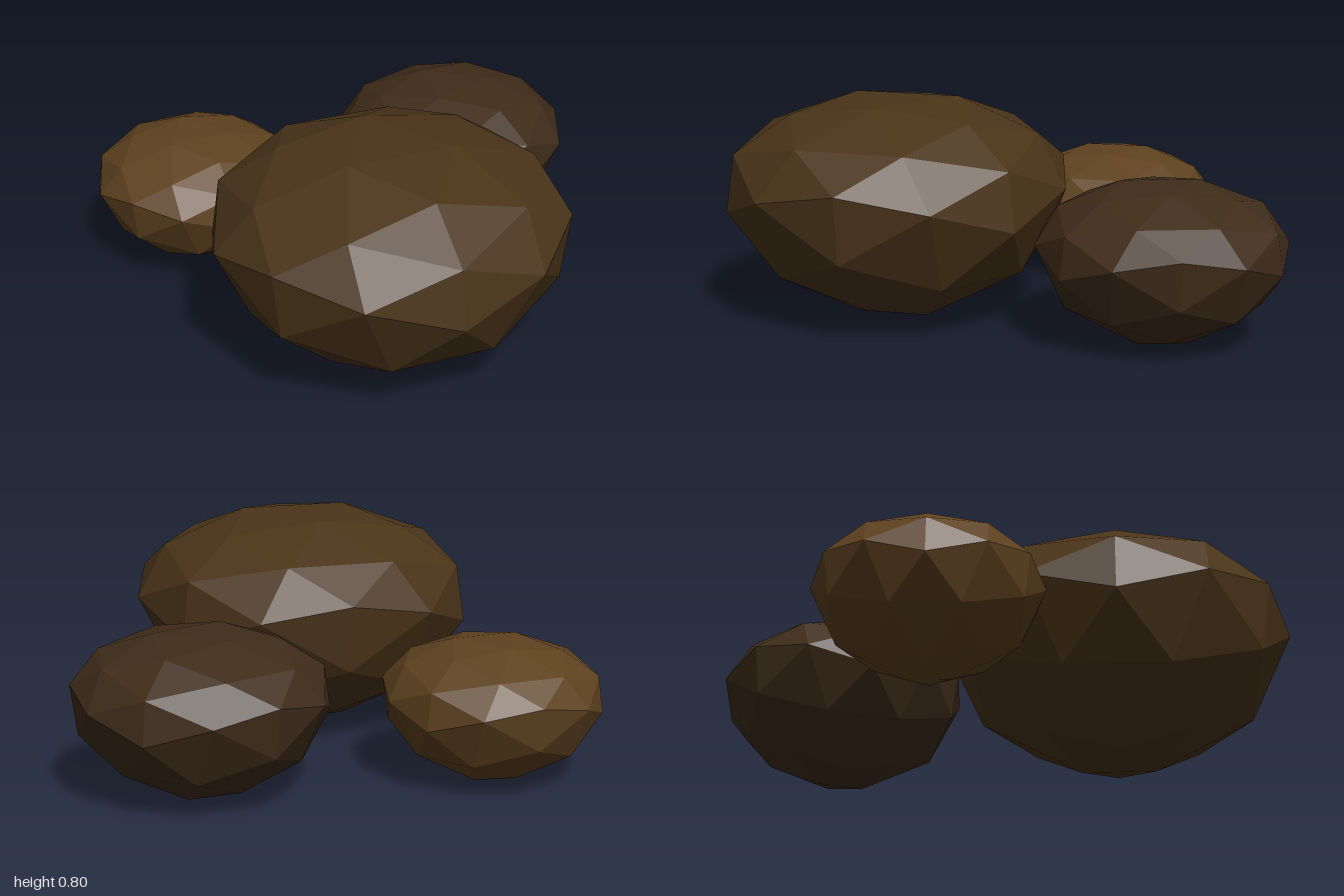
import * as THREE from 'three';

const T = (1 + Math.sqrt(5)) / 2;

// Faceted boulder: a sphere of 80 triangles resting face down,
// squashed above its widest line and tapered below it
function boulder(name, color, x, z, radius, height, spinDegrees) {
  const geometry = new THREE.IcosahedronGeometry(1, 1);

  // Turn one large face straight up, with its first corner towards +x
  const up = new THREE.Vector3(1, 1, 1).normalize();
  const corner = new THREE.Vector3(1, T, 0).projectOnPlane(up).normalize();
  const side = new THREE.Vector3().crossVectors(corner, up);
  geometry.applyMatrix4(new THREE.Matrix4().makeBasis(corner, up, side).transpose());
  geometry.rotateY(-THREE.MathUtils.degToRad(spinDegrees));

  // Shape the flat top and the narrower belly
  const p = geometry.attributes.position;
  const flat = 0.934; // height of the level top and bottom faces
  const belly = 0.625 * height;
  for (let i = 0; i < p.count; i++) {
    const y = p.getY(i);
    const taper = y < 0 ? 1 - 0.42 * y ** 4 : 1;
    const rise = (y > 0 ? height - belly : belly) / flat;
    p.setXYZ(i, p.getX(i) * radius * taper, belly + y * rise, p.getZ(i) * radius * taper);
  }
  geometry.computeVertexNormals();

  const mesh = new THREE.Mesh(
    geometry,
    new THREE.MeshStandardMaterial({ color, flatShading: true })
  );
  mesh.name = name;
  mesh.position.set(x, 0, z);
  return mesh;
}

export function createModel() {
  const group = new THREE.Group();
  group.name = 'boulders';
  group.add(
    boulder('largeBoulder', 0x4a3419, -0.15, 0.36, 0.65, 0.8, -29),
    boulder('mediumBoulder', 0x3f2c1a, 0.48, -0.47, 0.455, 0.565, 70),
    boulder('smallBoulder', 0x5e421f, -0.54, -0.605, 0.395, 0.49, 87)
  );
  return group;
}
